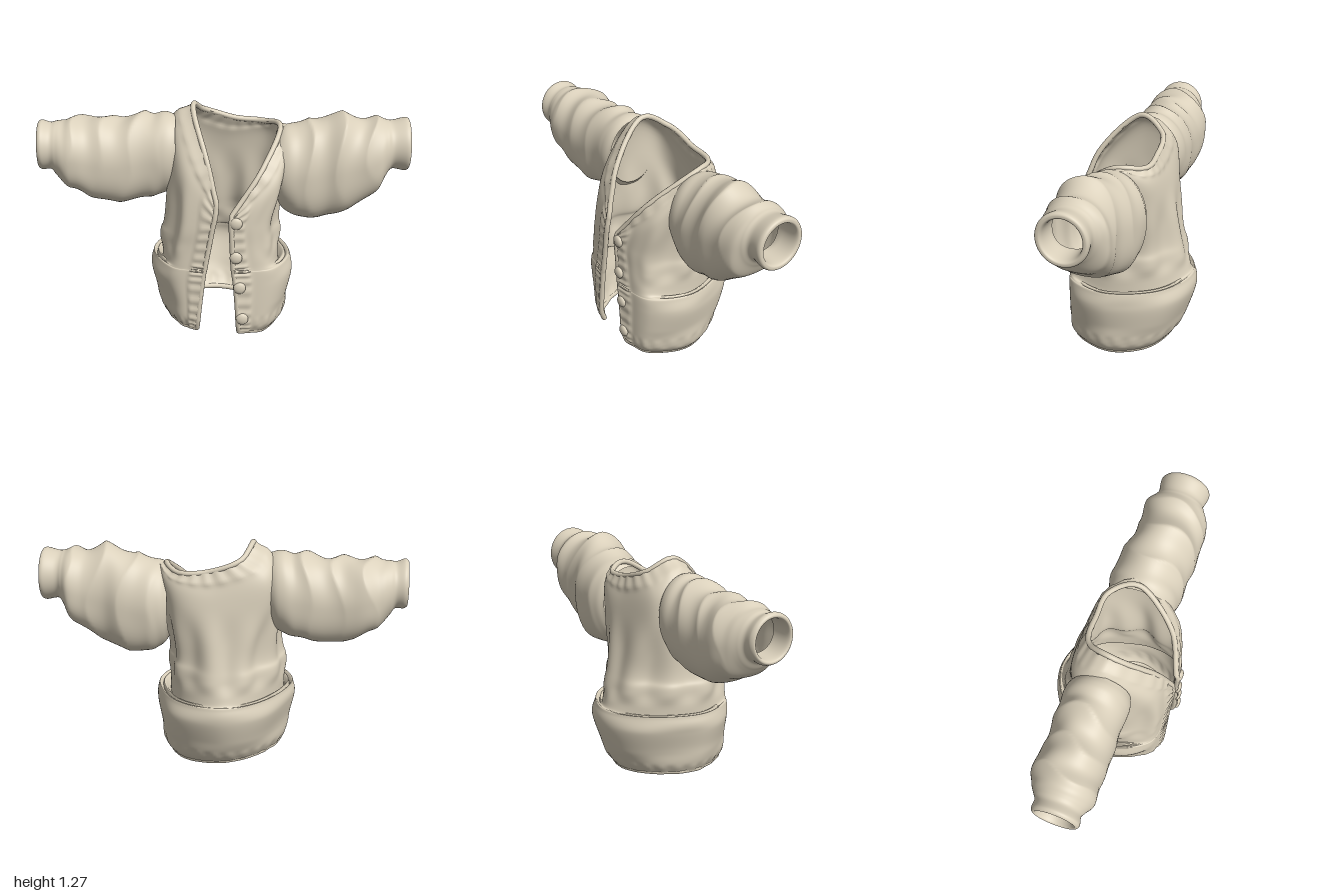
import * as THREE from 'three';

const V = (x, y, z) => new THREE.Vector3(x, y, z);
const spline = (pts) => new THREE.CatmullRomCurve3(pts, false, 'catmullrom', 0.5);
const step = THREE.MathUtils.smoothstep;
const mat = new THREE.MeshStandardMaterial({ color: 0xdad0bb, side: THREE.DoubleSide });

function named(name, geo) {
  const m = new THREE.Mesh(geo, mat);
  m.name = name;
  return m;
}

// Surface over an nu x nv grid; wrap joins the u ends without a seam
function gridSurface(nu, nv, wrap, fn) {
  const pts = [], idx = [], cols = wrap ? nu : nu + 1;
  for (let j = 0; j <= nv; j++)
    for (let i = 0; i < cols; i++) pts.push(fn(i / nu, j / nv));
  for (let j = 0; j < nv; j++)
    for (let i = 0; i < nu; i++) {
      const a = j * cols + i, b = j * cols + (i + 1) % cols;
      idx.push(a, a + cols, b, b, a + cols, b + cols);
    }
  const g = new THREE.BufferGeometry().setFromPoints(pts);
  g.setIndex(idx);
  g.computeVertexNormals();
  return g;
}

// C-shaped body section from right front edge, round the back, to left front edge;
// tuck pulls the sides down and inwards to make pocket-like folds
function bodyRing(y, xR, xL, eR, eL, zf, zb, tuck = 0) {
  const w = [0, 0, 1, 0.8, 0.15, 0.8, 1, 0, 0];
  const xz = [
    [eR, zf], [xR * 0.74, zf * 0.86], [xR, 0.05], [xR * 0.65, zb * 0.64], [(xR + xL) / 2, zb],
    [xL * 0.68, zb * 0.66], [xL, 0.05], [xL * 0.72, zf * 0.85], [eL, zf],
  ];
  const tilt = 0.1 * (1 - step(y, 0.1, 0.6));
  return spline(xz.map(([x, z], i) => {
    const k = 1 - tuck * w[i];
    return V(x * k, y - tuck * w[i] - tilt * x, z * k);
  }));
}

// Closed sleeve through sections [x, bottom, top, back, front], with cloth folds
function sleeveGeometry(rows, phase) {
  const a = spline(rows.map((r) => V(r[0], r[1], r[2])));
  const b = spline(rows.map((r) => V(r[0], r[3], r[4])));
  return gridSurface(64, 150, true, (u, v) => {
    const p = a.getPoint(v), q = b.getPoint(v), t = u * Math.PI * 2, ax = Math.abs(p.x);
    const c = Math.cos(t), s = Math.sin(t);
    const env = step(ax, 0.32, 0.4) * (1 - step(ax, 0.83, 0.89));
    const f1 = 1 - 2 * Math.abs(Math.sin(19 * ax + 0.9 * Math.sin(t + phase) + 0.5 * Math.sin(3 * t + 5 * ax)));
    const f2 = Math.sin(33 * ax - 1.4 * Math.cos(t + phase) + 3 * Math.sin(4 * ax + phase));
    // folds gather on top and front, and fade towards the baggy underside
    const k = 1 + env * (0.6 + 0.4 * c) * (0.055 * f1 * (0.7 + 0.3 * Math.sin(2 * t + phase)) + 0.025 * f2);
    const full = c < 0 ? 1 + 0.4 * env * s * s * c * c : 1;
    return V(
      THREE.MathUtils.clamp(p.x, -1, 1),
      (p.y + p.z) / 2 + (p.z - p.y) / 2 * c * k * full,
      (q.y + q.z) / 2 + (q.z - q.y) / 2 * s * k * full,
    );
  });
}

export function createModel() {
  const jacket = new THREE.Group();
  jacket.name = 'jacket';

  // Body sections from hem to neckline, with a tucked fold above the waistband
  const rings = [
    bodyRing(0.045, -0.335, 0.305, -0.155, 0.08, 0.31, -0.235),
    bodyRing(0.1, -0.36, 0.34, -0.15, 0.075, 0.33, -0.275),
    bodyRing(0.2, -0.375, 0.355, -0.14, 0.07, 0.335, -0.32),
    bodyRing(0.33, -0.405, 0.38, -0.125, 0.06, 0.335, -0.36),
    bodyRing(0.405, -0.395, 0.37, -0.115, 0.05, 0.335, -0.345),
    bodyRing(0.42, -0.385, 0.355, -0.11, 0.048, 0.333, -0.338),
    bodyRing(0.45, -0.372, 0.33, -0.105, 0.045, 0.332, -0.325, 0.08),
    bodyRing(0.56, -0.345, 0.302, -0.085, 0.04, 0.332, -0.29),
    bodyRing(0.67, -0.32, 0.295, -0.065, 0.035, 0.335, -0.265),
  ];
  // Chest and shoulder section
  rings.push(spline([
    V(-0.05, 0.74, 0.335), V(-0.21, 0.95, 0.26), V(-0.29, 1.14, 0.02), V(-0.25, 1.07, -0.165),
    V(0.02, 0.99, -0.205), V(0.26, 1.02, -0.165), V(0.355, 1.08, 0.03), V(0.27, 0.88, 0.26),
    V(0.035, 0.71, 0.335),
  ]));
  // Neckline, higher on the right shoulder
  const neck = spline([
    V(-0.045, 0.81, 0.325), V(-0.1, 1.04, 0.24), V(-0.168, 1.25, 0.03), V(-0.11, 1.19, -0.12),
    V(0.06, 1.13, -0.15), V(0.22, 1.115, -0.135), V(0.31, 1.125, 0.02), V(0.2, 0.96, 0.23),
    V(0.04, 0.74, 0.325),
  ]);
  rings.push(neck);

  const NU = 140;
  const columns = Array.from({ length: NU + 1 }, (_, i) => spline(rings.map((r) => r.getPoint(i / NU))));
  const bodyPoint = (u, v, inset) => {
    const p = columns[Math.round(u * NU)].getPoint(v);
    const e = Math.min(u, 1 - u), side = step(e, 0.06, 0.16);
    // raised band along front edges and neckline, with gathered ribs
    const band = Math.max(1 - step(e, 0.036, 0.06), step(v, 0.93, 0.96));
    const gather = 0.003 * band * Math.sin(e < 0.05 ? v * 120 : u * 150);
    // ribbed hem, vertical folds at the waist, soft dents in the waistband
    const rib = 0.003 * Math.sin(u * 150) * step(p.y, 0.05, 0.08) * (1 - step(p.y, 0.1, 0.14));
    const fold = 0.012 * Math.sin(u * 58 + p.y * 3) * side * step(p.y, 0.46, 0.54) * (1 - step(p.y, 0.75, 0.95));
    const dent = 0.006 * Math.sin(u * 30 + p.y * 7) * side * step(p.y, 0.12, 0.2) * (1 - step(p.y, 0.33, 0.4));
    const k = 1 + (0.01 * band + gather + rib + fold + dent - inset) / Math.hypot(p.x, p.z);
    return V(p.x * k, p.y, p.z * k);
  };
  const THICK = 0.025;
  jacket.add(named('body', gridSurface(NU, 110, false, (u, v) => bodyPoint(u, v, 0))));
  jacket.add(named('lining', gridSurface(NU, 110, false, (u, v) => bodyPoint(u, v, THICK))));

  // Rolled edge up the right front, round the neck and down the left front
  const edgePts = [];
  for (let i = 0; i < 20; i++) edgePts.push(bodyPoint(0, i / 20, THICK / 2));
  for (let i = 0; i <= 28; i++) edgePts.push(bodyPoint(i / 28, 1, THICK / 2));
  for (let i = 19; i >= 0; i--) edgePts.push(bodyPoint(1, i / 20, THICK / 2));
  jacket.add(named('frontTrim', new THREE.TubeGeometry(spline(edgePts), 220, 0.015, 10, false)));

  // Rolled hem with rounded ends
  const hemPts = Array.from({ length: 41 }, (_, i) => bodyPoint(i / 40, 0, THICK / 2));
  jacket.add(named('hem', new THREE.TubeGeometry(spline(hemPts), 120, 0.015, 10, false)));
  for (const p of [hemPts[0], hemPts[40]]) {
    const cap = named('hemEnd', new THREE.SphereGeometry(0.015, 12, 8));
    cap.position.copy(p);
    jacket.add(cap);
  }

  // Sleeves: shoulder, baggy arm, narrow cuff, cuff turned inside
  jacket.add(named('leftSleeve', sleeveGeometry([
    [0.29, 0.71, 1.1, -0.15, 0.18], [0.34, 0.65, 1.135, -0.18, 0.2], [0.45, 0.62, 1.16, -0.195, 0.215],
    [0.55, 0.635, 1.195, -0.18, 0.21], [0.64, 0.66, 1.205, -0.15, 0.225], [0.75, 0.73, 1.185, -0.15, 0.22],
    [0.83, 0.79, 1.185, -0.155, 0.21], [0.875, 0.86, 1.17, -0.12, 0.18], [0.91, 0.9, 1.165, -0.1, 0.16],
    [0.98, 0.89, 1.18, -0.11, 0.17], [1, 0.905, 1.165, -0.095, 0.155], [0.98, 0.925, 1.145, -0.075, 0.135],
    [0.86, 0.93, 1.14, -0.07, 0.13],
  ], 0.4)));
  jacket.add(named('rightSleeve', sleeveGeometry([
    [-0.26, 0.82, 1.195, -0.14, 0.165], [-0.32, 0.76, 1.21, -0.175, 0.18], [-0.45, 0.735, 1.2, -0.18, 0.17],
    [-0.57, 0.715, 1.185, -0.17, 0.18], [-0.7, 0.735, 1.185, -0.18, 0.175], [-0.79, 0.785, 1.185, -0.18, 0.185],
    [-0.86, 0.815, 1.17, -0.15, 0.18], [-0.905, 0.865, 1.165, -0.12, 0.16], [-0.935, 0.905, 1.16, -0.1, 0.15],
    [-0.98, 0.905, 1.175, -0.1, 0.16], [-1, 0.92, 1.16, -0.085, 0.145], [-0.98, 0.935, 1.145, -0.07, 0.13],
    [-0.88, 0.94, 1.14, -0.065, 0.125],
  ], 2.1)));

  // Buttons down the left front edge
  for (const [x, y] of [[0.06, 0.7], [0.06, 0.5], [0.08, 0.32], [0.095, 0.13]]) {
    const button = named('button', new THREE.SphereGeometry(0.034, 20, 12));
    button.scale.z = 0.5;
    button.position.set(x, y, 0.342);
    jacket.add(button);
  }
  return jacket;
}
